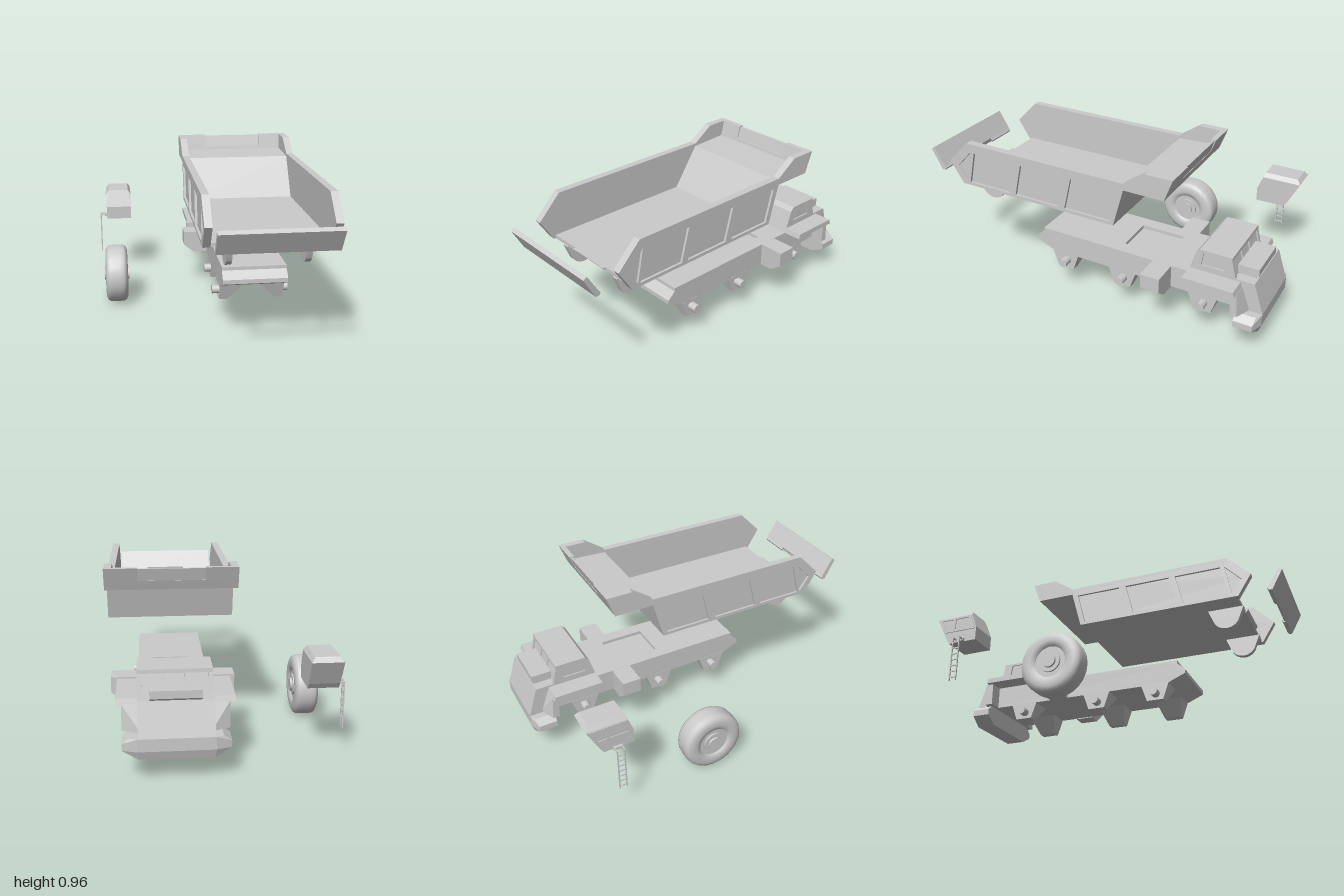
import * as THREE from 'three';
import { ConvexGeometry } from 'three/addons/geometries/ConvexGeometry.js';

const flat = new THREE.MeshStandardMaterial({ color: 0xcccccc, flatShading: true });
const smooth = new THREE.MeshStandardMaterial({ color: 0xcccccc });

function add(parent, name, geometry, material = flat) {
  const mesh = new THREE.Mesh(geometry, material);
  mesh.name = name;
  parent.add(mesh);
  return mesh;
}

function extrude(points, depth, holes) {
  const shape = new THREE.Shape(points.map(p => new THREE.Vector2(...p)));
  for (const h of holes) shape.holes.push(new THREE.Path(h.map(p => new THREE.Vector2(...p))));
  return new THREE.ExtrudeGeometry(shape, { depth, bevelEnabled: false });
}

// Side profile of [z, y] points, swept from x0 to x1
const across = (points, x0, x1, holes = []) =>
  extrude(points, x1 - x0, holes).rotateY(-Math.PI / 2).translate(x1, 0, 0);

// Same sweep, on side s (-1 or 1) between distances a and b from the middle
const onSide = (s, points, a, b, holes) =>
  across(points, Math.min(s * a, s * b), Math.max(s * a, s * b), holes);

// End profile of [x, y] points, swept from z0 to z1
const along = (points, z0, z1, holes = []) => extrude(points, z1 - z0, holes).translate(0, 0, z0);

const box = (x0, x1, y0, y1, z0, z1) =>
  new THREE.BoxGeometry(x1 - x0, y1 - y0, z1 - z0).translate((x0 + x1) / 2, (y0 + y1) / 2, (z0 + z1) / 2);

const hull = points => new ConvexGeometry(points.map(p => new THREE.Vector3(...p)));

function buildBed() {
  const bed = new THREE.Group();
  bed.name = 'dumpBed';

  // Floor, front slope and canopy in one profile
  add(bed, 'bedFloor', across([[.74, .62], [.74, .64], [-.13, .64], [-.28, .862], [-.5, .872], [-.504, .89],
    [-.524, .89], [-.505, .84], [-.28, .84], [-.22, .62]], -.305, .305));
  add(bed, 'floorTab', across([[.74, .62], [.757, .64], [.74, .64]], -.125, .125));

  // Canopy rim with a thinner middle panel
  add(bed, 'rimPanel', across([[-.51, .89], [-.521, .89], [-.541, .955], [-.528, .955]], -.175, .175));

  const outline = [[.83, .745], [.70, .877], [-.28, .877], [-.40, .96], [-.55, .96], [-.505, .84],
    [-.28, .84], [-.22, .62], [.75, .62]];
  const panels = [[[.775, .725], [.68, .825], [.715, .64]]];
  for (const z of [.655, .345, .03]) panels.push([[z, .825], [z - .272, .825], [z - .225, .638], [z + .045, .638]]);
  // Rounded hinge bracket
  const bracket = [[.54, .62], [.75, .62]];
  for (let i = 0; i <= 8; i++) {
    const a = .25 + (Math.PI - .5) * i / 8;
    bracket.push([.645 + .08 * Math.cos(a), .572 - .078 * Math.sin(a)]);
  }
  for (const s of [-1, 1]) {
    add(bed, 'canopyRim', onSide(s, [[-.504, .89], [-.524, .89], [-.55, .96], [-.52, .96]], .175, .305));
    add(bed, 'sideWall', onSide(s, outline, .305, .332));
    add(bed, 'sideWallFrame', onSide(s, outline, .332, .345, panels));
    add(bed, 'hingeBracket', onSide(s, bracket, .19, .222));
  }

  // Tailgate, held clear of the bed
  add(bed, 'tailgate', across([[1, .76], [.98, .775], [.918, .672], [.92, .65], [.935, .643]], -.305, .305));
  for (const s of [-1, 1]) {
    add(bed, 'tailgateLip', onSide(s, [[.918, .672], [.907, .657], [.915, .645], [.93, .643]], .125, .305));
  }
  return bed;
}

function buildChassis() {
  const chassis = new THREE.Group();
  chassis.name = 'chassis';
  add(chassis, 'frame', across([[.375, .275], [.375, .30], [.33, .342], [-.88, .342], [-.88, .23], [.27, .23]], -.185, .185));
  // Deck with an open pocket
  const deck = [[-.185, -.33], [.185, -.33], [.185, .88], [-.185, .88]];
  const pocket = [[-.11, .16], [.11, .16], [.11, .42], [-.11, .42]];
  add(chassis, 'deck', extrude(deck, .02, [pocket]).rotateX(-Math.PI / 2).translate(0, .341, 0));
  add(chassis, 'deckEnd', across([[.33, .341], [.31, .361], [.3, .361], [.3, .341]], -.185, .185));

  for (const s of [-1, 1]) {
    // Side tank with a sloping underside
    const tank = [[.18, .36], [.33, .36], [.33, .275], [.265, .225], [.18, .225]].map(([x, y]) => [s * x, y]);
    add(chassis, 'sideTank', along(tank, -.48, -.37));

    // Axle mounts: tapered leg, raised frame and stub
    for (const z of [.19, -.18, -.665]) {
      const leg = [];
      for (const e of [-1, 1]) {
        leg.push([s * .17, .235, z + e * .085], [s * .05, .235, z + e * .085],
          [s * .17, .135, z + e * .05], [s * .14, .135, z + e * .05]);
      }
      add(chassis, 'axleMount', hull(leg));
      add(chassis, 'axleMountFrame', onSide(s,
        [[z - .085, .235], [z + .085, .235], [z + .05, .135], [z - .05, .135]], .168, .186,
        [[[z - .063, .213], [z + .063, .213], [z + .04, .15], [z - .04, .15]]]));
      const stub = new THREE.CylinderGeometry(.025, .025, .07, 16).rotateZ(Math.PI / 2).translate(s * .188, .18, z);
      add(chassis, 'axleStub', stub, smooth);
    }
  }
  return chassis;
}

function buildFrontEnd() {
  const front = new THREE.Group();
  front.name = 'frontEnd';

  // Bonnet and nose
  add(front, 'nose', across([[-.8, .23], [-.8, .40], [-.945, .40], [-1, .23]], -.185, .185));
  add(front, 'bonnetLedge', across([[-.83, .39], [-.83, .45], [-.945, .45], [-.945, .41], [-.93, .39]], -.127, .127));

  // Cab shell with window frames
  add(front, 'cab', across([[-.58, .36], [-.618, .49], [-.64, .515], [-.805, .515], [-.835, .40], [-.835, .36]], -.178, .178));
  const frame = [[-.585, .38], [-.618, .49], [-.64, .515], [-.805, .515], [-.832, .40], [-.832, .38]];
  const pane = [[-.65, .425], [-.66, .495], [-.68, .503], [-.765, .503], [-.78, .425]];
  for (const s of [-1, 1]) {
    add(front, 'cabSideFrame', onSide(s, frame, .177, .186, [pane]));
    // Fender, standing over the front axle
    add(front, 'fender', onSide(s, [[-.58, .36], [-.588, .39], [-.87, .39], [-.88, .36]], .17, .2925));
    add(front, 'fenderSkirt', hull([.17, .265].flatMap(x => [[s * x, .23, -.99 + (x > .2 ? .05 : 0)], [s * x, .23, -.87],
      [s * x, .365, -.88], [s * x, .365, -.85], [s * x, .23, -.85]].map(([a, b, c]) => [a, b, x > .2 ? Math.max(c, -.89) : Math.max(c, -.93)]))));
  }
  for (const [x0, x1] of [[-.186, -.165], [-.06, -.045], [.045, .06], [.165, .186]]) {
    add(front, 'windscreenPost', across([[-.803, .515], [-.814, .515], [-.842, .40], [-.833, .40]], x0, x1));
  }
  add(front, 'windscreenHeader', across([[-.8, .515], [-.818, .515], [-.82, .495], [-.808, .495]], -.186, .186));

  // Bumper with chamfered ends and underside
  const ring = (y, w, z0, z1) => [[-w, y, z0], [w, y, z0], [-w, y, z1], [w, y, z1]];
  add(front, 'bumper', hull([...ring(.12, .185, -.985, -.87), ...ring(.165, .265, -.975, -.87), ...ring(.165, .19, -1, -.87),
    ...ring(.2, .265, -.975, -.87), ...ring(.23, .19, -1, -.87), ...ring(.23, .225, -.98, -.87)]));
  for (const s of [-1, 1]) {
    add(front, 'headlamp', box(Math.min(s * .12, s * .17), Math.max(s * .12, s * .17), .18, .205, -1, -.985));
  }
  return front;
}

function buildOperatorCab() {
  const cab = new THREE.Group();
  cab.name = 'operatorCab';
  // Narrower roof on a straight-sided shell with an undercut front
  const shell = [];
  for (const [z, y, w] of [[-.64, .39, .08], [-.64, .47, .08], [-.672, .55, .08], [-.68, .575, .062],
    [-.875, .575, .062], [-.895, .55, .08], [-.83, .42, .08], [-.81, .39, .08]]) {
    shell.push([-.48 - w, y, z], [-.48 + w, y, z]);
  }
  add(cab, 'operatorCabShell', hull(shell));
  const frame = [[-.645, .46], [-.678, .548], [-.885, .548], [-.84, .46]];
  const pane = [[-.67, .475], [-.69, .537], [-.775, .537], [-.775, .475]];
  const quarter = [[-.79, .475], [-.79, .537], [-.865, .537], [-.835, .475]];
  add(cab, 'operatorCabWindowFrame', across(frame, -.565, -.559, [pane, quarter]));

  // Ladder hung from the cab
  const ladder = new THREE.Group();
  ladder.name = 'ladder';
  cab.add(ladder);
  for (const z of [-.755, -.715]) {
    add(ladder, 'ladderRail', box(-.605, -.598, .143, .402, z - .003, z + .003));
    add(ladder, 'ladderArm', box(-.605, -.555, .395, .402, z - .003, z + .003));
  }
  for (let i = 0; i < 7; i++) {
    const y = .16 + i * .035;
    add(ladder, 'ladderRung', box(-.604, -.599, y - .003, y + .003, -.755, -.715));
  }
  add(ladder, 'ladderBracket', box(-.575, -.555, .39, .405, -.76, -.71));
  return cab;
}

function buildWheel() {
  const wheel = new THREE.Group();
  wheel.name = 'wheel';
  // Half profile [radius, offset], mirrored across the wheel
  const half = [[.085, .045], [.09, .06], [.115, .067], [.145, .065], [.165, .056], [.173, .042], [.175, .02]];
  const profile = [...half.map(([r, o]) => [r, -o]), ...half.reverse()];
  add(wheel, 'tyre', new THREE.LatheGeometry(profile.map(p => new THREE.Vector2(...p)), 24), smooth);
  add(wheel, 'rim', new THREE.CylinderGeometry(.09, .09, .104, 24));
  add(wheel, 'hubDisc', new THREE.CylinderGeometry(.06, .06, .124, 24), smooth);
  add(wheel, 'hubCap', new THREE.CylinderGeometry(.038, .038, .15, 20), smooth);
  wheel.rotation.z = Math.PI / 2;
  wheel.position.set(-.508, .175, -.165);
  return wheel;
}

export function createModel() {
  const model = new THREE.Group();
  model.name = 'dumpTruckKit';
  const truck = new THREE.Group();
  truck.name = 'truck';
  truck.position.x = .26;
  truck.add(buildBed(), buildChassis(), buildFrontEnd());
  model.add(truck, buildOperatorCab(), buildWheel());
  return model;
}
